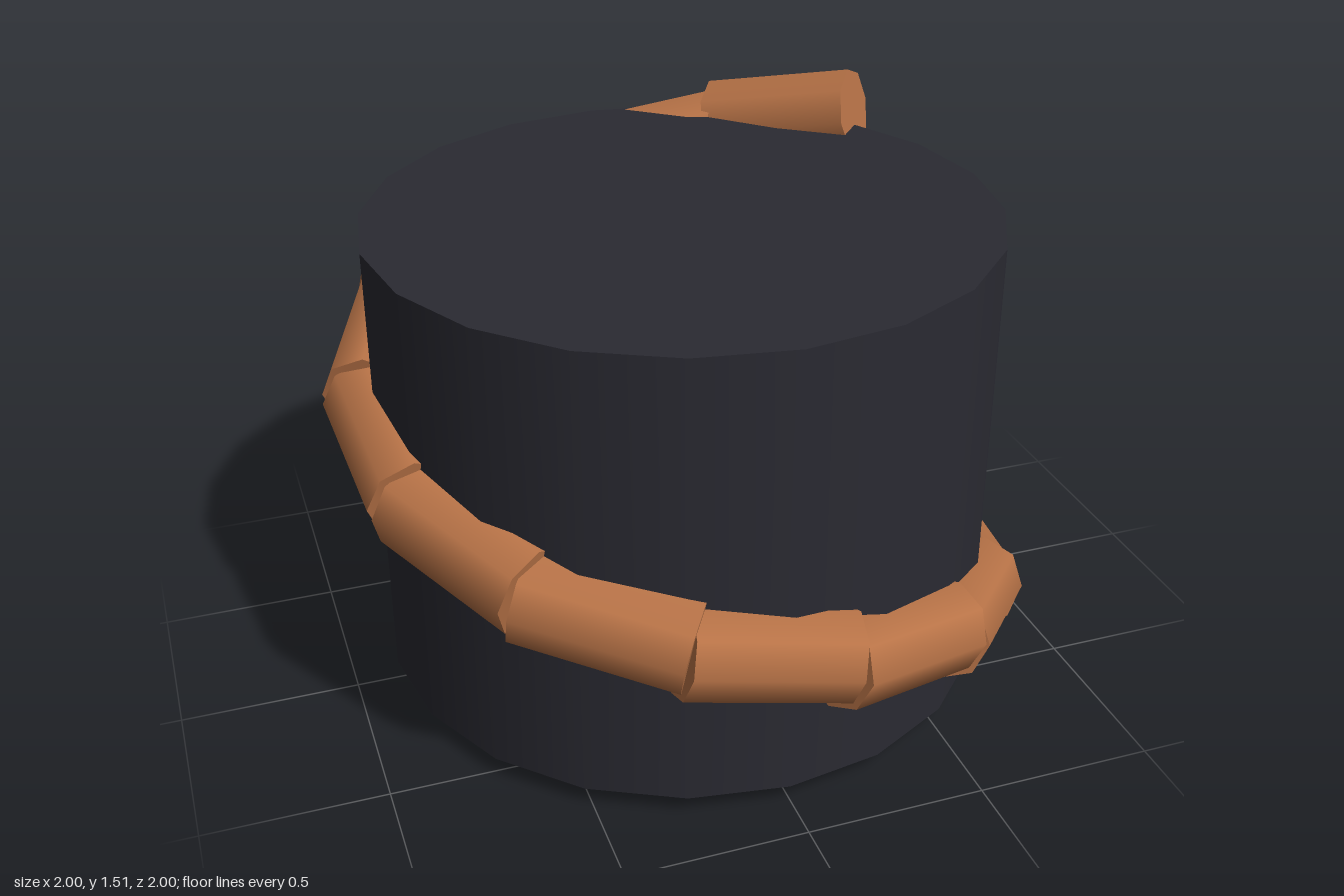
import * as THREE from 'three';

const SEGMENTS = 12;
const STEP = THREE.MathUtils.degToRad(27);
const RADIUS = 0.875;

export function createModel() {
  const model = new THREE.Group();
  model.name = 'wrappedDrum';
  const dark = new THREE.MeshStandardMaterial({ color: 0x2a2a32 });
  dark.name = 'charcoal';
  const copper = new THREE.MeshStandardMaterial({ color: 0xb87347 });
  copper.name = 'copper';

  // Drum
  const drum = new THREE.Mesh(new THREE.CylinderGeometry(RADIUS, RADIUS, 1.29, 20), dark);
  drum.name = 'drum';
  drum.position.set(-0.005, 0.7, 0.004);
  model.add(drum);

  // Coil of straight overlapping rods climbing around the drum
  const coil = new THREE.Group();
  coil.name = 'coil';
  coil.position.set(-0.005, 0, 0.004);
  const rod = new THREE.CylinderGeometry(0.128, 0.128, 0.455, 8).rotateX(Math.PI / 2);
  const midRadius = RADIUS * Math.cos(STEP / 2);
  for (let i = 0; i < SEGMENTS; i++) {
    const a = (i + 0.5) * STEP;
    const segment = new THREE.Mesh(rod, copper);
    segment.name = `coilSegment${i + 1}`;
    segment.position.set(midRadius * Math.cos(a), 0.169 + i * 0.1066, midRadius * Math.sin(a));
    const heading = new THREE.Vector3(-Math.sin(a), 0.2, Math.cos(a));
    segment.lookAt(heading.add(segment.position));
    coil.add(segment);
  }
  model.add(coil);
  return model;
}
